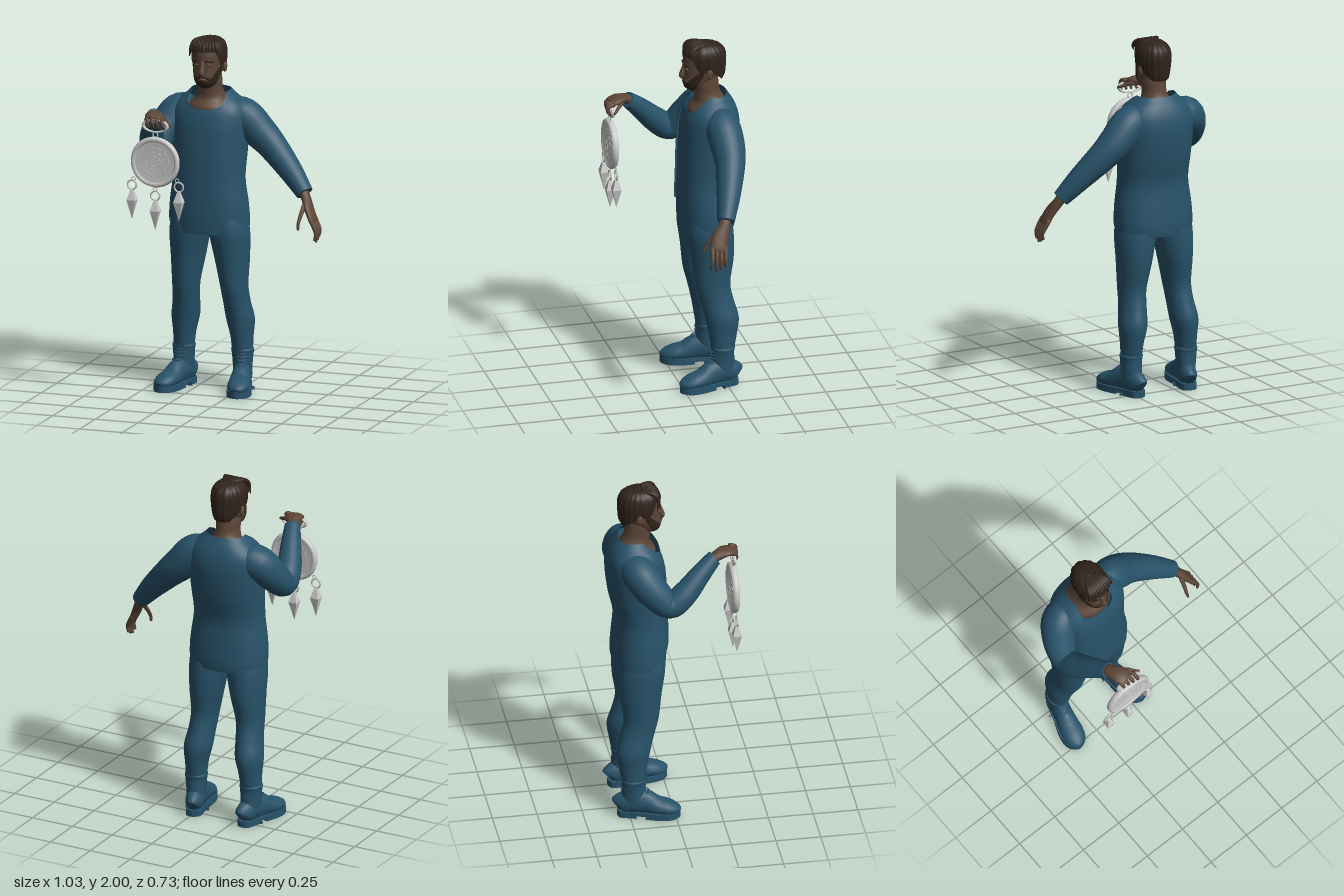
import * as THREE from 'three';

const V = (x, y, z) => new THREE.Vector3(x, y, z);
const mat = (color) => new THREE.MeshStandardMaterial({ color, roughness: 0.85, side: THREE.DoubleSide });
const CX = -0.165; // body centre line
const { smoothstep, lerp } = THREE.MathUtils;

// Surface through rows of points; each row runs around, rows stack along the part
function surface(rows, closed) {
  const m = rows[0].length, pos = [], idx = [];
  rows.forEach((r) => r.forEach((p) => pos.push(p.x, p.y, p.z)));
  for (let i = 0; i < rows.length - 1; i++) {
    for (let j = 0; j < (closed ? m : m - 1); j++) {
      const k = (j + 1) % m, a = i * m + j, b = i * m + k;
      idx.push(a, b, a + m, b, b + m, a + m);
    }
  }
  const g = new THREE.BufferGeometry();
  g.setAttribute('position', new THREE.Float32BufferAttribute(pos, 3));
  g.setIndex(idx);
  g.computeVertexNormals();
  return g;
}

// Rounded limb through [x, y, z, radiusAlongRef, otherRadius]; level keeps rings horizontal
function limb(rows, { ref = V(1, 0, 0), level = false, n = 20, sub = 5 } = {}) {
  const path = new THREE.CatmullRomCurve3(rows.map((r) => V(r[0], r[1], r[2])), false, 'catmullrom');
  const radii = new THREE.CatmullRomCurve3(rows.map((r) => V(r[3], r[4] ?? r[3], 0)), false, 'catmullrom');
  const steps = (rows.length - 1) * sub, out = [];
  for (let i = 0; i <= steps; i++) {
    const c = path.getPoint(i / steps), r = radii.getPoint(i / steps);
    const t = level ? V(0, 1, 0) : path.getTangent(i / steps);
    const u = level ? V(0, 0, 1) : ref.clone().addScaledVector(t, -ref.dot(t)).normalize();
    const v = t.clone().cross(u);
    const [ru, rv] = level ? [r.y, r.x] : [r.x, r.y];
    const ring = Array.from({ length: n }, (_, j) => {
      const a = (j / n) * Math.PI * 2;
      return c.clone().addScaledVector(u, ru * Math.cos(a)).addScaledVector(v, rv * Math.sin(a));
    });
    if (i === 0) out.push(ring.map(() => c.clone()));
    out.push(ring);
    if (i === steps) out.push(ring.map(() => c.clone()));
  }
  return surface(out, true);
}

// Shell around the body centre line; profile rows are [y, cz, rx, rz], angle 0 is the front
function shell(profile, { bottom, top, from = -Math.PI, to = Math.PI, gap = 0, scale = 1, n = 64, m = 30, ripple = () => 1, ease = (v) => v, power = 1 }) {
  const curve = new THREE.CatmullRomCurve3(profile.map((p) => V(p[1], p[2], p[3])), false, 'catmullrom');
  const at = (y) => {
    let i = 0;
    while (i < profile.length - 2 && y > profile[i + 1][0]) i++;
    const t = THREE.MathUtils.clamp((y - profile[i][0]) / (profile[i + 1][0] - profile[i][0]), 0, 1);
    return curve.getPoint((i + t) / (profile.length - 1));
  };
  const pw = (s) => Math.sign(s) * Math.abs(s) ** power;
  const rows = [];
  for (let i = 0; i <= m; i++) {
    rows.push(Array.from({ length: n + 1 }, (_, j) => {
      const a0 = lerp(from, to, j / n), angle = a0 > Math.PI ? a0 - 2 * Math.PI : a0;
      const y = lerp(bottom(angle), top(angle), ease(i / m)), p = at(y);
      let a = a0;
      if (gap) { // keep the opening edges a constant distance apart
        const g = Math.asin(Math.min(0.9, (gap / p.y) ** (1 / power)));
        a = lerp(g, 2 * Math.PI - g, j / n);
      }
      const k = scale * ripple(angle);
      return V(CX + p.y * k * pw(Math.sin(a)), y, p.x + p.z * k * pw(Math.cos(a)));
    }));
  }
  return surface(rows, false);
}

const TORSO = [[0.86, -0.165, 0.215, 0.145], [0.95, -0.167, 0.222, 0.155], [1.05, -0.163, 0.218, 0.153], [1.2, -0.16, 0.2, 0.147],
  [1.35, -0.177, 0.205, 0.16], [1.5, -0.19, 0.213, 0.162], [1.58, -0.195, 0.212, 0.15], [1.63, -0.197, 0.185, 0.132],
  [1.66, -0.2, 0.145, 0.112], [1.69, -0.2, 0.11, 0.088]];
const HEAD = [[1.715, -0.105, 0.02, 0.025], [1.735, -0.108, 0.05, 0.052], [1.77, -0.125, 0.068, 0.078], [1.82, -0.155, 0.08, 0.106],
  [1.87, -0.163, 0.086, 0.115], [1.92, -0.163, 0.086, 0.114], [1.96, -0.163, 0.074, 0.098], [1.985, -0.16, 0.04, 0.055]];
const HAIR = [[1.76, -0.18, 0.07, 0.08], [1.8, -0.17, 0.081, 0.11], [1.86, -0.165, 0.092, 0.12], [1.92, -0.165, 0.094, 0.121],
  [1.96, -0.165, 0.083, 0.107], [1.985, -0.165, 0.055, 0.07], [1.997, -0.165, 0.002, 0.002]];
const LEG = [[0.2, 0.172, -0.227, 0.056, 0.06], [0.3, 0.168, -0.228, 0.062, 0.078], [0.4, 0.16, -0.225, 0.077, 0.094],
  [0.5, 0.148, -0.2, 0.073, 0.094], [0.6, 0.14, -0.178, 0.076, 0.098], [0.75, 0.128, -0.18, 0.095, 0.118],
  [0.9, 0.115, -0.17, 0.112, 0.13], [1.02, 0.1, -0.165, 0.105, 0.12]];

export function createModel() {
  const model = new THREE.Group();
  const cloth = mat(0x28536a), skin = mat(0x5c4637), hair = mat(0x30241b), metal = mat(0xcccccc);
  const add = (name, geo, material, parent = model) => {
    const mesh = new THREE.Mesh(geo, material);
    mesh.name = name;
    parent.add(mesh);
    return mesh;
  };
  const group = (name) => {
    const g = new THREE.Group();
    g.name = name;
    model.add(g);
    return g;
  };

  // Clothes on the torso
  const neckline = (a) => 1.69 - 0.09 * (1 - smoothstep(Math.abs(a), 0.1, 1.3));
  add('shirt', shell(TORSO, { bottom: () => 0.9, top: neckline, scale: 0.95, power: 0.9 }), cloth);
  add('jacket', shell(TORSO, {
    bottom: (a) => 0.93 + 0.15 * Math.max(0, 1 - Math.abs(a) / 1.5), top: (a) => neckline(a) + 0.005,
    from: 0.25, to: 2 * Math.PI - 0.25, gap: 0.06, scale: 1.02, power: 0.9,
  }), cloth);
  add('waistband', shell(TORSO, { bottom: () => 1.11, top: () => 1.14, scale: 0.965, power: 0.9, m: 3 }), cloth);

  // Head
  const head = group('head');
  add('neck', limb([[CX, 1.54, -0.19, 0.13, 0.1], [CX, 1.6, -0.19, 0.13, 0.115], [CX, 1.65, -0.195, 0.09, 0.088],
    [CX, 1.7, -0.18, 0.068, 0.075], [CX, 1.76, -0.17, 0.068, 0.075], [CX, 1.82, -0.17, 0.06, 0.07]], { level: true }), skin, head);
  add('face', limb(HEAD.map(([y, z, rx, rz]) => [CX, y, z, rx, rz]), { level: true, n: 32 }), skin, head);
  add('nose', limb([[CX, 1.872, -0.055, 0.01], [CX, 1.84, -0.045, 0.012], [CX, 1.808, -0.037, 0.017, 0.015], [CX, 1.797, -0.045, 0.012]], { n: 12 }), skin, head);
  add('lips', limb([-0.022, 0, 0.022].map((x, i) => [CX + x, 1.772, i === 1 ? -0.046 : -0.054, i === 1 ? 0.007 : 0.003]), { ref: V(0, 1, 0), n: 10 }), skin, head);
  add('moustache', limb([[-0.04, 1.768, -0.065, 0.005], [-0.022, 1.785, -0.05, 0.008], [0, 1.79, -0.044, 0.008], [0.022, 1.785, -0.05, 0.008], [0.04, 1.768, -0.065, 0.005]]
    .map(([x, ...r]) => [CX + x, ...r]), { ref: V(0, 1, 0), n: 10 }), hair, head);
  add('beard', shell(HEAD, { bottom: () => 1.716, top: (a) => 1.765 + 0.085 * smoothstep(Math.abs(a), 0.4, 1.4), from: -1.45, to: 1.45, scale: 1.05, n: 32, m: 12 }), hair, head);
  for (const s of [-1, 1]) {
    const ear = add('ear', new THREE.SphereGeometry(1, 14, 10), skin, head);
    ear.scale.set(0.012, 0.032, 0.02);
    ear.position.set(CX + s * 0.087, 1.83, -0.175);
    add('eyebrow', limb([[CX + s * 0.015, 1.873, -0.049, 0.005], [CX + s * 0.035, 1.878, -0.053, 0.006], [CX + s * 0.058, 1.87, -0.073, 0.004]], { ref: V(0, 1, 0), n: 8 }), hair, head);
    const lid = add('eyelid', new THREE.SphereGeometry(1, 12, 8), skin, head);
    lid.scale.set(0.015, 0.008, 0.01);
    lid.position.set(CX + s * 0.034, 1.852, -0.06);
  }
  add('hair', shell(HAIR, {
    bottom: (a) => 1.925 - 0.085 * smoothstep(Math.abs(a), 0.7, 1.25) - 0.06 * smoothstep(Math.abs(a), 1.6, 2.6), top: () => 1.997,
    n: 120, m: 18, ease: (v) => 1 - (1 - v) ** 2, ripple: (a) => 1 + 0.018 * Math.sin(17 * a + 2 * Math.sin(3 * a)),
  }), hair, head);
  for (let i = -4; i <= 4; i++) { // locks swept from the crown to the forehead
    const x = i * 0.018, drop = i < -1 ? 0.03 : 0;
    add('hairLock', limb([[CX + x * 0.4, 1.985, -0.16, 0.012], [CX + x * 0.8, 1.978, -0.1, 0.014], [CX + x, 1.95, -0.062 - x * x * 2, 0.011],
      [CX + x * 1.1 - 0.006, 1.925 - drop, -0.05 - x * x * 5, 0.003]], { n: 8 }), hair, head);
  }

  // Legs and boots
  for (const s of [1, -1]) {
    const side = s > 0 ? 'left' : 'right';
    add(side + 'Trouser', limb(LEG.map(([y, x, z, rx, rz]) => [CX + s * x, y, z, rx, rz]), { level: true, n: 28 }), cloth);
    const boot = group(side + 'Boot');
    boot.position.set(CX + s * 0.172, 0, -0.228);
    boot.rotation.y = s * 0.22;
    add('shaft', limb([[0, 0.06, 0, 0.05, 0.065], [0, 0.13, 0, 0.054, 0.066], [0, 0.2, 0, 0.06, 0.063], [0, 0.225, 0, 0.064, 0.067], [0, 0.235, 0, 0.06, 0.064]], { level: true }), cloth, boot);
    add('foot', limb([[-0.085, 0.09, 0.025], [-0.065, 0.12, 0.045], [0, 0.15, 0.052], [0.07, 0.142, 0.053], [0.13, 0.105, 0.06], [0.19, 0.085, 0.062], [0.235, 0.062, 0.046], [0.255, 0.04, 0.018]]
      .map(([z, top, w]) => [0, top / 2 + 0.012, z, w, top / 2])), cloth, boot);
    // sole outline, drawn with the toe along -y and laid flat
    const outline = (z0, z1) => new THREE.Shape(new THREE.SplineCurve(
      [[0, -0.09], [0.04, -0.07], [0.048, 0], [0.056, 0.07], [0.067, 0.15], [0.055, 0.225], [0, 0.262], [-0.055, 0.225], [-0.067, 0.15], [-0.056, 0.07], [-0.048, 0], [-0.04, -0.07], [0, -0.09]]
        .map(([x, z]) => new THREE.Vector2(x, -z))).getPoints(48).map((p) => new THREE.Vector2(p.x, -THREE.MathUtils.clamp(-p.y, z0, z1))));
    for (const [name, z0, z1, y, h] of [['sole', -0.1, 0.3, 0.016, 0.02], ['heel', -0.1, 0.02, 0, 0.02], ['tread', 0.07, 0.3, 0, 0.02]]) {
      const g = new THREE.ExtrudeGeometry(outline(z0, z1), { depth: h, bevelEnabled: false }).rotateX(-Math.PI / 2);
      add(name, g.translate(0, y, 0), cloth, boot);
    }
    for (let i = 0; i < 6; i++) {
      const y = 0.21 - i * 0.02, z = 0.066 + Math.max(0, i - 2) * 0.022;
      add('lace', limb([[-0.028, y + 0.004, z - 0.012, 0.004], [0, y, z + 0.002, 0.005], [0.028, y + 0.004, z - 0.012, 0.004]], { ref: V(0, 1, 0), n: 8 }), cloth, boot);
    }
  }

  // Arms
  add('leftSleeve', limb([[-0.07, 1.565, -0.21, 0.08], [0.015, 1.55, -0.222, 0.098], [0.1, 1.465, -0.232, 0.095], [0.18, 1.39, -0.225, 0.083],
    [0.3, 1.27, -0.185, 0.067], [0.385, 1.175, -0.15, 0.052], [0.402, 1.155, -0.143, 0.048]], { ref: V(0, 0, 1), n: 24 }), cloth);
  add('rightSleeve', limb([[-0.27, 1.565, -0.205, 0.08], [-0.355, 1.55, -0.195, 0.098], [-0.415, 1.46, -0.125, 0.09], [-0.44, 1.385, -0.04, 0.074],
    [-0.425, 1.44, 0.045, 0.07], [-0.385, 1.535, 0.14, 0.057], [-0.355, 1.6, 0.21, 0.046], [-0.35, 1.61, 0.222, 0.043]], { n: 24 }), cloth);

  // Hands: palm plus fingers, each finger a path with tapering radius
  const hand = (name, palm, ref, fingers) => {
    const g = group(name);
    add('palm', limb(palm, { ref, n: 16 }), skin, g);
    fingers.forEach((f, i) => add(i ? 'finger' : 'thumb', limb(f.map((p, k) => [...p, 0.0135 - k * 0.0022]), { n: 10, sub: 4 }), skin, g));
  };
  hand('leftHand', [[0.39, 1.17, -0.145, 0.034, 0.028], [0.415, 1.13, -0.13, 0.034, 0.026], [0.445, 1.075, -0.1, 0.046, 0.022], [0.472, 1.02, -0.085, 0.046, 0.018], [0.478, 1.005, -0.083, 0.03, 0.01]], V(0, 0, 1),
    [[[0.42, 1.1, -0.085], [0.413, 1.05, -0.045], [0.408, 1.01, -0.022], [0.41, 0.975, -0.012]],
      ...[0, 1, 2, 3].map((i) => {
        const z = -0.05 - i * 0.025, d = Math.abs(i - 1.2) * 0.014;
        return [[0.465, 1.035, z], [0.492, 0.985, z + 0.006], [0.502, 0.945 + d / 2, z + 0.01], [0.496, 0.9 + d, z + 0.012]];
      })]);
  hand('rightHand', [[-0.355, 1.605, 0.21, 0.034, 0.028], [-0.345, 1.622, 0.24, 0.036, 0.027], [-0.325, 1.632, 0.285, 0.05, 0.023], [-0.308, 1.625, 0.325, 0.048, 0.018], [-0.305, 1.62, 0.335, 0.03, 0.01]], V(1, 0, -0.4),
    [[[-0.31, 1.62, 0.26], [-0.27, 1.615, 0.285], [-0.24, 1.6, 0.31], [-0.215, 1.59, 0.33]],
      ...[0, 1, 2, 3].map((i) => {
        const x = -0.35 + i * 0.03, z = 0.318 + i * 0.004;
        return [[x, 1.628, z - 0.01], [x + 0.005, 1.618, z + 0.024], [x + 0.01, 1.59, z + 0.03], [x + 0.012, 1.57, z + 0.012]];
      })]);

  // Hanging disc with ring handle and drops
  const charm = group('hangingDisc');
  charm.position.set(-0.3, 1.38, 0.335);
  const half = [[0.112, 0.008], [0.118, 0.016], [0.128, 0.019], [0.138, 0.015], [0.143, 0]];
  const profile = [[0, 0.008], ...half, ...half.slice(0, -1).reverse().map(([r, y]) => [r, -y]), [0, -0.008]];
  add('disc', new THREE.LatheGeometry(profile.reverse().map(([r, y]) => new THREE.Vector2(r, y)), 48).rotateX(Math.PI / 2), metal, charm);
  [[0.03, 5], [0.052, 8], [0.08, 12]].forEach(([r, count]) => {
    for (let i = 0; i < count; i++) for (const z of [-0.008, 0.008]) {
      const dash = add('engravedDash', new THREE.TorusGeometry(r, 0.003, 5, 6, (Math.PI * 1.2) / count), metal, charm);
      dash.rotation.z = (i / count) * Math.PI * 2;
      dash.position.z = z;
    }
  });
  const ring = (name, r, tube, x, y) => {
    const t = add(name, new THREE.TorusGeometry(r, tube, 8, 32), metal, charm);
    t.position.set(x, y, 0);
    return t;
  };
  ring('handle', 0.07, 0.01, 0, 0.205).scale.y = 0.5;
  ring('handleLink', 0.014, 0.004, 0, 0.154);
  for (const [x, y] of [[-0.136, -0.138], [0, -0.19], [0.138, -0.132]]) {
    ring('dropRing', 0.026, 0.005, x, y);
    ring('dropLink', 0.01, 0.003, x * 0.93, y + 0.036);
    const points = [[0, -0.195], [0.035, -0.085], [0.012, -0.03], [0, -0.025]].map(([r, h]) => new THREE.Vector2(r, h));
    const flat = metal.clone();
    flat.flatShading = true;
    add('drop', new THREE.LatheGeometry(points, 4).rotateY(Math.PI / 4), flat, charm).position.set(x, y, 0);
  }
  return model;
}
